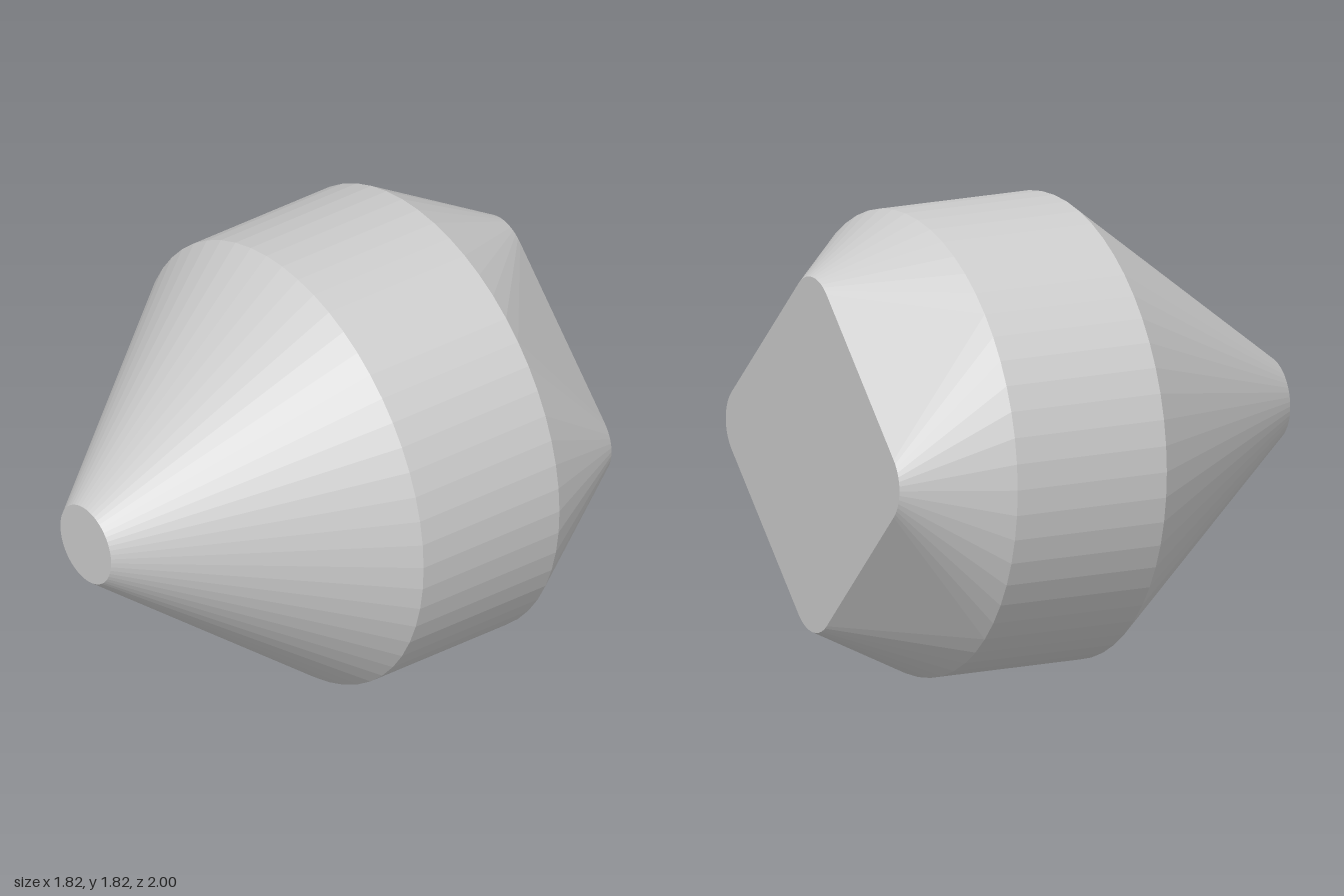
import * as THREE from 'three';

const STEPS = 14; // segments per quarter turn
const CENTER_Y = 0.908;

// Four quarter arcs of the given radius, pushed out along the x and y axes.
// offset 0 gives a circle; a larger offset gives a rounded square standing on a corner.
function section(z, radius, offset = 0) {
  const points = [];
  for (let k = 0; k < 4; k++) {
    const mid = (k * Math.PI) / 2;
    for (let i = 0; i <= STEPS; i++) {
      const a = mid + (i / STEPS - 0.5) * (Math.PI / 2);
      points.push(new THREE.Vector3(
        offset * Math.cos(mid) + radius * Math.cos(a),
        offset * Math.sin(mid) + radius * Math.sin(a),
        z
      ));
    }
  }
  return points;
}

function makeMesh(name, triangles) {
  const positions = [];
  const t = new THREE.Triangle();
  for (const [a, b, c] of triangles) {
    if (t.set(a, b, c).getArea() < 1e-7) continue; // skip collapsed corners
    for (const p of [a, b, c]) positions.push(p.x, p.y, p.z);
  }
  const geometry = new THREE.BufferGeometry();
  geometry.setAttribute('position', new THREE.Float32BufferAttribute(positions, 3));
  geometry.computeVertexNormals();
  const mesh = new THREE.Mesh(
    geometry,
    new THREE.MeshStandardMaterial({ color: 0xcccccc, flatShading: true })
  );
  mesh.name = name;
  mesh.position.y = CENTER_Y;
  return mesh;
}

// Wall between two sections, from the front one to the back one
function loft(name, front, back) {
  const triangles = [];
  front.forEach((f, i) => {
    const j = (i + 1) % front.length;
    triangles.push([f, back[i], back[j]], [f, back[j], front[j]]);
  });
  return makeMesh(name, triangles);
}

// Flat end; facing is +1 for the front and -1 for the back
function cap(name, ring, facing) {
  const middle = new THREE.Vector3(0, 0, ring[0].z);
  return makeMesh(name, ring.map((p, i) => {
    const q = ring[(i + 1) % ring.length];
    return facing > 0 ? [middle, p, q] : [middle, q, p];
  }));
}

export function createModel() {
  const model = new THREE.Group();
  model.name = 'taperedBody';

  const tip = section(1, 0.163);
  const shoulder = section(0.057, 0.908);
  const waist = section(-0.595, 0.908);
  const base = section(-1, 0.16, 0.541);

  model.add(
    cap('tipFace', tip, 1),
    loft('frontCone', tip, shoulder),
    loft('middleBand', shoulder, waist),
    loft('rearTaper', waist, base), // round to rounded square
    cap('rearFace', base, -1)
  );
  return model;
}
